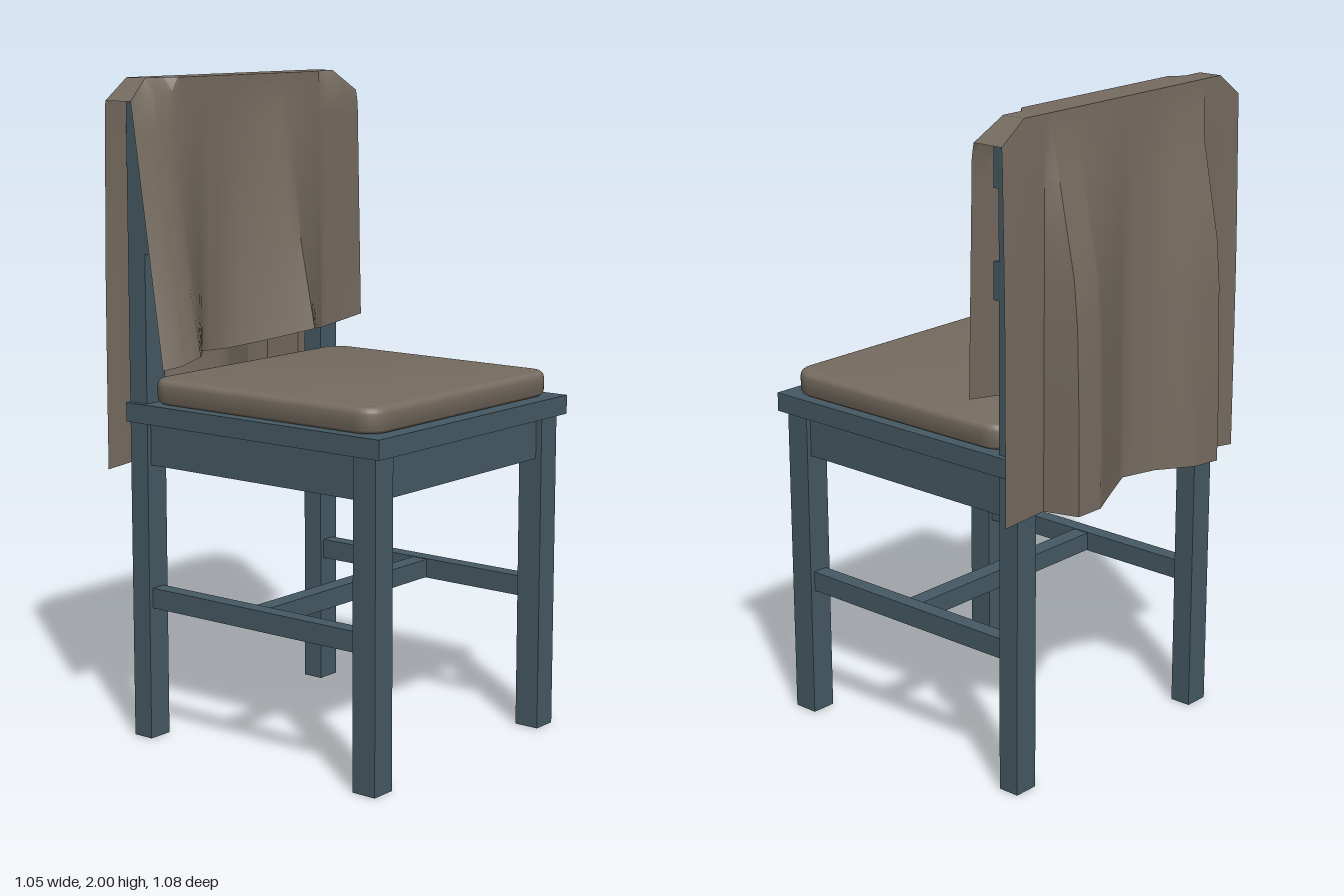
import * as THREE from 'three';
import { toCreasedNormals } from 'three/addons/utils/BufferGeometryUtils.js';

const wood = new THREE.MeshStandardMaterial({ color: 0x455a64 });
const fabric = new THREE.MeshStandardMaterial({ color: 0x766c60 });
const drape = new THREE.MeshStandardMaterial({ color: 0x766c60, side: THREE.DoubleSide });

// box given by its min and max on each axis
function bar(group, name, [x0, x1], [y0, y1], [z0, z1]) {
  const m = new THREE.Mesh(new THREE.BoxGeometry(x1 - x0, y1 - y0, z1 - z0), wood);
  m.position.set((x0 + x1) / 2, (y0 + y1) / 2, (z0 + z1) / 2);
  m.name = name;
  group.add(m);
}

// piecewise linear lookup in a list of [position, value]
function along(keys, p) {
  for (let i = 1; i < keys.length; i++) {
    const [a, va] = keys[i - 1], [b, vb] = keys[i];
    if (p <= b) return va + (vb - va) * Math.max(0, (p - a) / (b - a));
  }
  return keys[keys.length - 1][1];
}

function cushion() {
  const w = 0.425, d = 0.405, r = 0.05, bevel = 0.02;
  const s = new THREE.Shape();
  s.moveTo(-w + r, -d);
  s.lineTo(w - r, -d);
  s.absarc(w - r, -d + r, r, -Math.PI / 2, 0);
  s.absarc(w - r, d - r, r, 0, Math.PI / 2);
  s.absarc(-w + r, d - r, r, Math.PI / 2, Math.PI);
  s.absarc(-w + r, -d + r, r, Math.PI, Math.PI * 1.5);
  const g = new THREE.ExtrudeGeometry(s, {
    depth: 0.037, bevelThickness: bevel, bevelSize: bevel, bevelSegments: 4, curveSegments: 8,
  });
  g.rotateX(-Math.PI / 2);
  const m = new THREE.Mesh(toCreasedNormals(g, 0.7), fabric);
  m.position.set(0, 1.038 + bevel, 0.078);
  m.name = 'seatCushion';
  return m;
}

// cloth hung over the backrest: columns across x, rows from front hem over the top to back hem
function cloth() {
  const topY = [[-0.525, 1.935], [-0.435, 2], [0.435, 2], [0.525, 1.935]];
  const topFront = [[-0.525, -0.325], [-0.435, -0.35], [-0.36, -0.35], [-0.325, -0.318],
    [0.325, -0.318], [0.36, -0.35], [0.435, -0.35], [0.525, -0.325]];
  const frontZ = [[-0.525, -0.21], [-0.48, -0.178], [-0.4, -0.175], [-0.32, -0.24], [-0.235, -0.315],
    [-0.12, -0.315], [0, -0.235], [0.12, -0.167], [0.22, -0.24], [0.33, -0.31], [0.525, -0.303]];
  const frontY = [[-0.525, 1.16], [-0.4, 1.19], [-0.235, 1.175], [-0.12, 1.17], [0.12, 1.217],
    [0.33, 1.185], [0.525, 1.21]];
  const backZ = [[-0.525, -0.437], [-0.46, -0.43], [-0.355, -0.425], [-0.328, -0.53], [-0.235, -0.52],
    [-0.12, -0.455], [0, -0.43], [0.12, -0.485], [0.235, -0.54], [0.325, -0.535],
    [0.355, -0.43], [0.525, -0.437]];
  const backY = [[-0.525, 0.84], [-0.33, 0.86], [0, 0.87], [0.525, 0.86]];
  const billow = [[0, 0], [0.42, 0.88], [0.8, 1], [1, 1]];

  // one column at every fold line plus an even spacing
  const set = new Set([topFront, frontZ, backZ].flat().map(k => k[0]));
  for (let i = -12; i <= 12; i++) set.add(i * 0.04);
  const xs = [...set].sort((a, b) => a - b);

  const n = 8, pos = [], index = [];
  const rows = 2 * (n + 1) + 2;
  xs.forEach((x, c) => {
    const top = along(topY, x), shoulder = top - 0.04;
    const put = (y, z) => pos.push(x, y, z);
    for (let i = n; i >= 0; i--) {
      const t = i / n;
      put(shoulder + (along(frontY, x) - shoulder) * t, -0.318 + (along(frontZ, x) + 0.318) * t);
    }
    put(top, along(topFront, x));
    put(top, -0.425);
    for (let i = 0; i <= n; i++) {
      const t = i / n;
      put(shoulder + (along(backY, x) - shoulder) * t,
        -0.427 + (along(backZ, x) + 0.427) * along(billow, t));
    }
    if (c === 0) return;
    for (let r = 0; r < rows - 1; r++) {
      const a = (c - 1) * rows + r, b = c * rows + r;
      index.push(a, b, b + 1, a, b + 1, a + 1);
    }
  });
  const g = new THREE.BufferGeometry();
  g.setAttribute('position', new THREE.Float32BufferAttribute(pos, 3));
  g.setIndex(index);
  const m = new THREE.Mesh(toCreasedNormals(g, 0.75), drape);
  m.name = 'drapedCloth';
  return m;
}

export function createModel() {
  const chair = new THREE.Group();
  chair.name = 'chair';

  // legs, side aprons and side stretchers, mirrored
  for (const [side, s] of [['left', 1], ['right', -1]]) {
    const span = (a, b) => (s > 0 ? [a, b] : [-b, -a]);
    bar(chair, side + 'FrontLeg', span(0.37, 0.45), [0, 0.98], [0.435, 0.515]);
    bar(chair, side + 'BackPost', span(0.37, 0.45), [0, 1.93], [-0.415, -0.347]);
    bar(chair, side + 'Apron', span(0.405, 0.435), [0.85, 0.98], [-0.385, 0.435]);
    bar(chair, side + 'Stretcher', span(0.385, 0.435), [0.408, 0.47], [-0.38, 0.435]);
  }

  // seat frame
  bar(chair, 'seatPanel', [-0.468, 0.468], [0.98, 1.038], [-0.415, 0.54]);
  bar(chair, 'frontApron', [-0.37, 0.37], [0.85, 0.98], [0.465, 0.495]);
  bar(chair, 'backApron', [-0.37, 0.37], [0.85, 0.98], [-0.395, -0.365]);
  bar(chair, 'middleStretcher', [-0.385, 0.385], [0.41, 0.468], [0.02, 0.075]);

  // backrest rails
  bar(chair, 'topRail', [-0.45, 0.45], [1.8, 1.93], [-0.37, -0.328]);
  bar(chair, 'lowerRail', [-0.45, 0.45], [1.485, 1.595], [-0.37, -0.328]);

  chair.add(cushion(), cloth());
  return chair;
}
